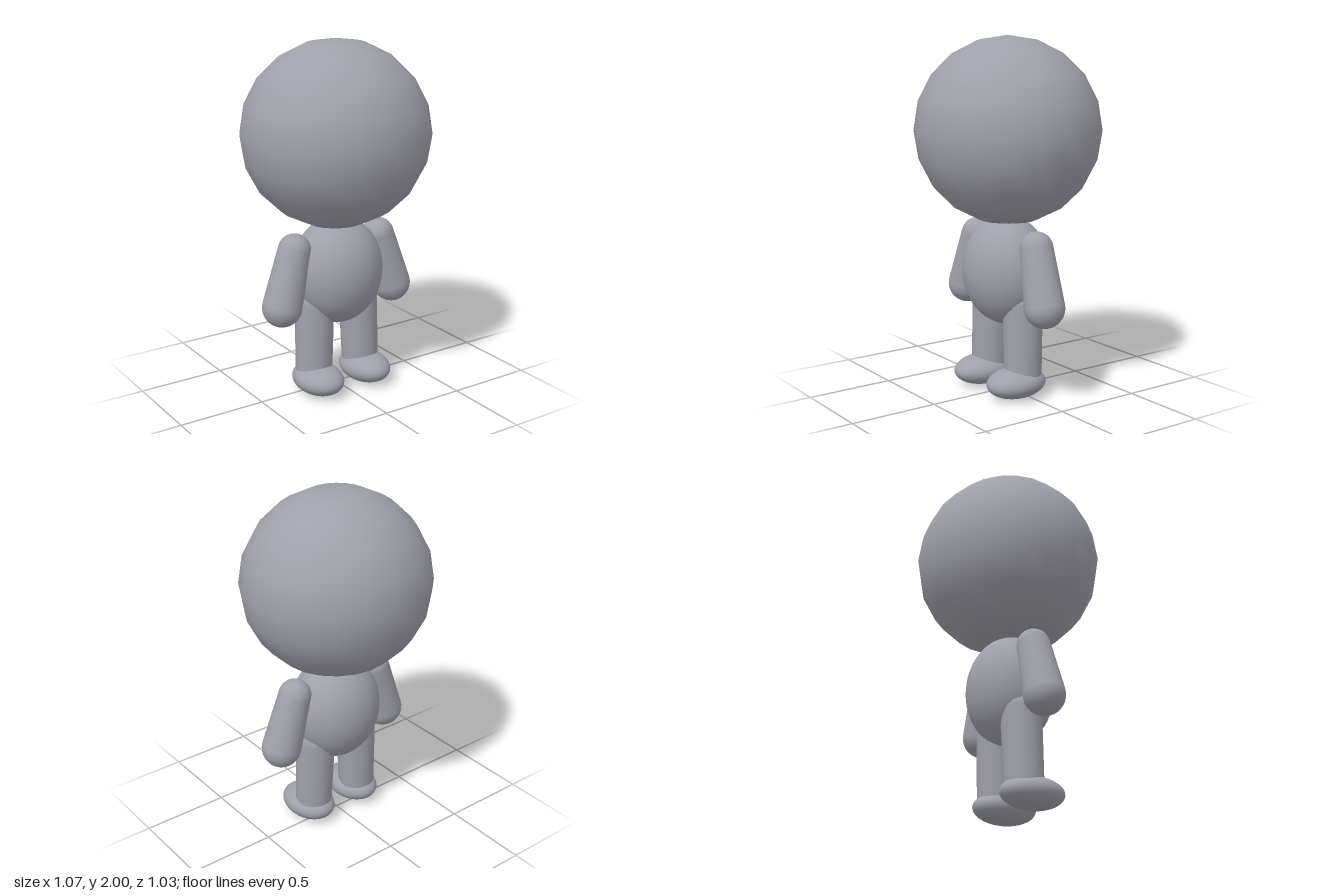
import * as THREE from 'three';

const clay = new THREE.MeshStandardMaterial({ color: 0xa0a0aa });
clay.name = 'grey clay';

function ellipsoid(name, center, radii, wide = 36, high = 24) {
  const mesh = new THREE.Mesh(new THREE.SphereGeometry(1, wide, high), clay);
  mesh.name = name;
  mesh.position.set(...center);
  mesh.scale.set(...radii);
  return mesh;
}

// Tapered capsule: a ball at each end joined by their common tangent cone
function limb(name, low, high, rLow, rHigh) {
  const a = new THREE.Vector3(...low);
  const axis = new THREE.Vector3(...high).sub(a);
  const length = axis.length();
  const tilt = Math.asin((rLow - rHigh) / length);
  const profile = [];
  const arc = (r, y, from, to) => {
    for (let i = 0; i <= 10; i++) {
      const t = from + (to - from) * i / 10;
      profile.push(new THREE.Vector2(Math.max(0, r * Math.cos(t)), y + r * Math.sin(t)));
    }
  };
  arc(rLow, 0, -Math.PI / 2, tilt);
  arc(rHigh, length, tilt, Math.PI / 2);
  const mesh = new THREE.Mesh(new THREE.LatheGeometry(profile, 28), clay);
  mesh.name = name;
  mesh.position.copy(a);
  mesh.quaternion.setFromUnitVectors(new THREE.Vector3(0, 1, 0), axis.normalize());
  return mesh;
}

export function createModel() {
  const model = new THREE.Group();
  model.name = 'bigHeadedFigure';

  // Large, coarsely divided head and egg-shaped torso
  model.add(ellipsoid('head', [0, 1.48, 0], [0.535, 0.52, 0.515], 20, 10));
  model.add(ellipsoid('torso', [0, 0.7, 0.013], [0.268, 0.31, 0.237]));

  // Limbs on both sides
  for (const [side, s] of [['left', 1], ['right', -1]]) {
    model.add(limb(side + 'Arm', [s * 0.372, 0.552, 0.025], [s * 0.282, 0.864, 0.013], 0.112, 0.092));
    model.add(limb(side + 'Leg', [s * 0.16, 0.13, 0.013], [s * 0.148, 0.53, 0.005], 0.106, 0.112));
    model.add(ellipsoid(side + 'Foot', [s * 0.162, 0.087, 0.06], [0.134, 0.085, 0.18]));
  }
  return model;
}
